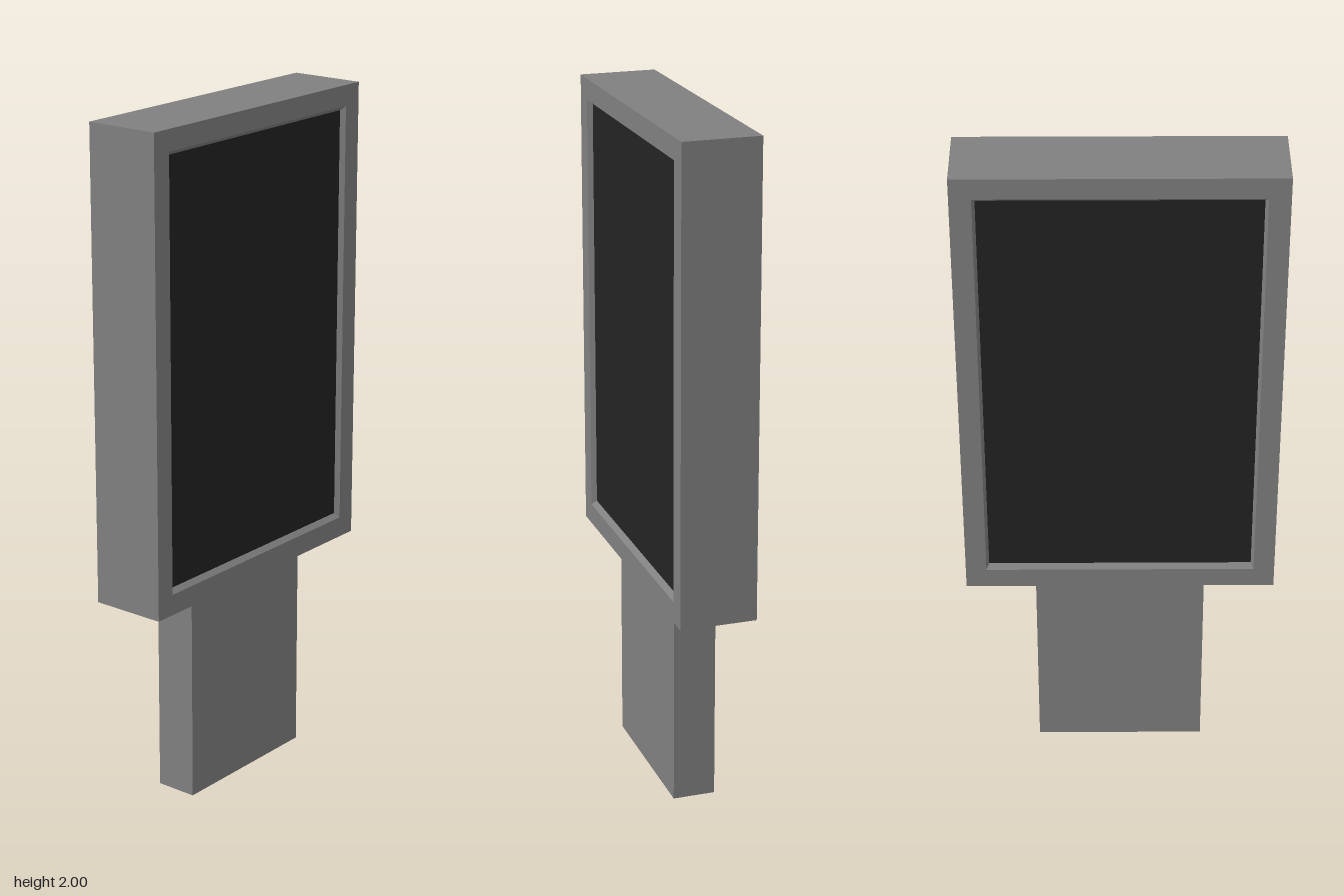
import * as THREE from 'three';

const casingGrey = new THREE.MeshStandardMaterial({ color: 0x808080 });
casingGrey.name = 'casing grey';
const screenBlack = new THREE.MeshStandardMaterial({ color: 0x232323 });
screenBlack.name = 'screen black';

// Rectangular cross-section at x, counter-clockwise as seen from +x
function section(x, halfZ, y0, y1) {
  return [[x, y0, halfZ], [x, y0, -halfZ], [x, y1, -halfZ], [x, y1, halfZ]];
}

// Joins successive rectangles with flat quads
function loft(sections) {
  const positions = [];
  for (let i = 0; i < sections.length - 1; i++) {
    for (let j = 0; j < 4; j++) {
      const k = (j + 1) % 4;
      const a = sections[i][j], b = sections[i][k];
      const c = sections[i + 1][k], d = sections[i + 1][j];
      positions.push(...a, ...b, ...c, ...a, ...c, ...d);
    }
  }
  const geometry = new THREE.BufferGeometry();
  geometry.setAttribute('position', new THREE.Float32BufferAttribute(positions, 3));
  geometry.computeVertexNormals();
  return geometry;
}

export function createModel() {
  const model = new THREE.Group();
  model.name = 'displayStand';

  const add = (name, geometry, material, x, y) => {
    const mesh = new THREE.Mesh(geometry, material);
    mesh.name = name;
    mesh.position.set(x, y, 0);
    model.add(mesh);
    return mesh;
  };

  const halfX = 0.112, screenX = 0.097;
  const y0 = 0.63, screenY0 = 0.704, screenY1 = 1.927, screenHalfZ = 0.381;

  // Pedestal
  add('pedestal', new THREE.BoxGeometry(0.125, y0, 0.495), casingGrey, 0, y0 / 2);

  // Casing with a bevelled recess on both broad sides
  add('casing', loft([
    section(-screenX, screenHalfZ, screenY0, screenY1),
    section(-halfX, 0.389, 0.691, 1.939),
    section(-halfX, 0.449, y0, 2),
    section(halfX, 0.449, y0, 2),
    section(halfX, 0.389, 0.691, 1.939),
    section(screenX, screenHalfZ, screenY0, screenY1),
  ]), casingGrey, 0, 0);

  // Screens at the bottom of each recess
  for (const side of [1, -1]) {
    const screen = add(
      side > 0 ? 'leftScreen' : 'rightScreen',
      new THREE.PlaneGeometry(screenHalfZ * 2, screenY1 - screenY0),
      screenBlack, side * screenX, (screenY0 + screenY1) / 2
    );
    screen.rotation.y = side * Math.PI / 2;
  }

  return model;
}
